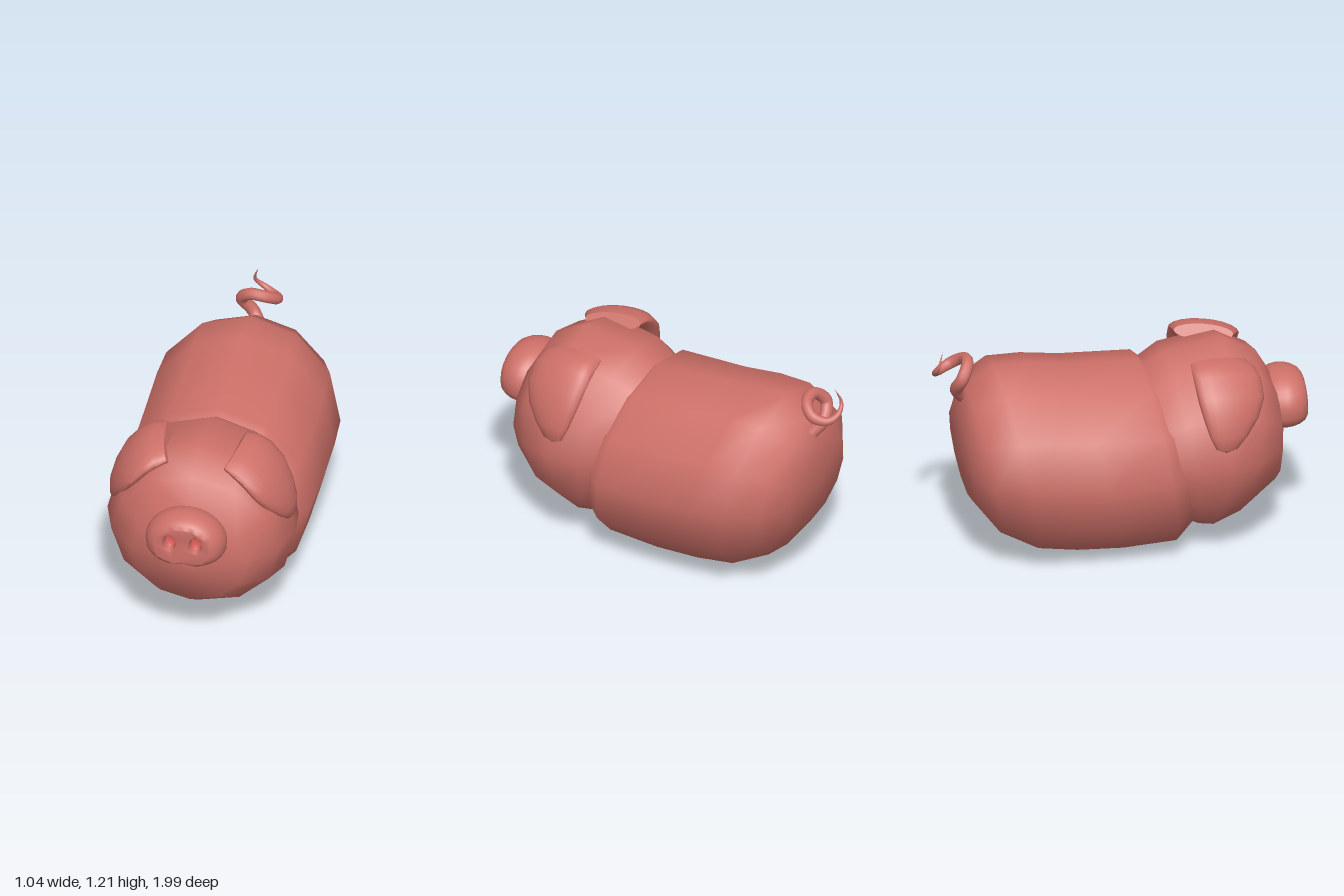
import * as THREE from 'three';
import { mergeGeometries, mergeVertices, toCreasedNormals } from 'three/addons/utils/BufferGeometryUtils.js';

const V = (x, y, z) => new THREE.Vector3(x, y, z);

// Skin a list of equal-length closed rings, running front to back
function loft(rings) {
  const n = rings[0].length, index = [];
  for (let i = 0; i < rings.length - 1; i++) {
    for (let j = 0; j < n; j++) {
      const a = i * n + j, b = i * n + (j + 1) % n;
      index.push(a, b, a + n, b, b + n, a + n);
    }
  }
  const g = new THREE.BufferGeometry().setFromPoints(rings.flat());
  g.setIndex(index);
  return g;
}

function smooth(geometries) {
  const g = mergeVertices(mergeGeometries(geometries), 1e-4);
  g.computeVertexNormals();
  return g;
}

function ring(n, fn) {
  return Array.from({ length: n }, (_, j) => fn((j / n) * Math.PI * 2));
}

// Slanted oval sections: [top z, top y, bottom z, bottom y, half width]
function slantedLoft(sections) {
  return smooth([loft(sections.map(([tz, ty, bz, by, rx]) => ring(12, (a) => {
    const k = (1 + Math.cos(a)) / 2;
    return V(rx * Math.sin(a), by + (ty - by) * k, bz + (tz - bz) * k);
  })))]);
}

const CY = 0.74; // snout centre height

// Bean-shaped snout outline with a dent at the bottom
function snoutPoint(a, s, z) {
  const x = 0.217 * Math.sin(a), c = Math.cos(a);
  const y = c > 0 ? 0.175 * c
    : -0.14 * Math.pow(-c, 0.75) + 0.022 * Math.exp(-((x / 0.05) ** 2)) * -c;
  return V(x * s, CY + y * s, z);
}

// Counter-clockwise oval around one nostril
function nostrilRing(side, s, z) {
  return ring(20, (a) => V(side * 0.07 + 0.038 * s * Math.cos(a), 0.767 + 0.057 * s * Math.sin(a), z));
}

function snoutGeometry() {
  const profile = [[0.7, 1.0], [0.82, 0.985], [0.92, 0.955], [0.98, 0.92], [1, 0.885], [0.97, 0.85], [0.88, 0.81]];
  const rings = profile.map(([s, z]) => ring(36, (a) => snoutPoint(a, s, z)));
  const flat = (pts) => pts.map((p) => new THREE.Vector2(p.x, p.y));
  const shape = new THREE.Shape(flat(rings[0]));
  const walls = [];
  for (const side of [-1, 1]) {
    shape.holes.push(new THREE.Path(flat(nostrilRing(side, 1, 1))));
    walls.push(loft([[1, 1], [0.85, 0.99], [0.72, 0.96]].map(([s, z]) => nostrilRing(side, s, z))));
  }
  const cap = new THREE.ShapeGeometry(shape).translate(0, 0, 1);
  cap.deleteAttribute('normal');
  cap.deleteAttribute('uv');
  return smooth([loft(rings), cap, ...walls]);
}

// Folded ear from the crown down to its tip: [centre, outward direction, half width, half thickness]
function earGeometry(side) {
  const sections = [
    [[0.18, 1.07, 0.51], [0.5, 0.85], 0, 0],
    [[0.18, 1.07, 0.51], [0.5, 0.85], 0.155, 0.045],
    [[0.24, 1.055, 0.525], [0.5, 0.85], 0.175, 0.058],
    [[0.30, 1.02, 0.535], [0.6, 0.8], 0.185, 0.062],
    [[0.37, 0.94, 0.54], [0.75, 0.66], 0.182, 0.062],
    [[0.42, 0.85, 0.53], [0.86, 0.5], 0.15, 0.056],
    [[0.455, 0.77, 0.51], [0.95, 0.3], 0.105, 0.042],
    [[0.475, 0.71, 0.495], [1, 0.1], 0.06, 0.024],
    [[0.482, 0.69, 0.49], [1, 0], 0, 0],
  ];
  const rings = sections.map(([c, d, w, t]) => ring(20, (a) => {
    const u = w * Math.cos(a), n = -side * t * Math.sin(a);
    return V(side * (c[0] - 0.16 * u + d[0] * n), c[1] - 0.1 * u + d[1] * n, c[2] + u);
  }));
  return toCreasedNormals(smooth([loft(rings)]), 0.9);
}

// Curly tail: a tube tapering towards its tip
function tailGeometry() {
  const curve = new THREE.CatmullRomCurve3([
    V(0.02, 0.92, -0.82), V(-0.03, 0.99, -0.865), V(-0.085, 1.07, -0.845), V(-0.03, 1.135, -0.805),
    V(0.055, 1.125, -0.81), V(0.1, 1.08, -0.87), V(0.07, 1.055, -0.94), V(0.01, 1.075, -0.972),
    V(-0.04, 1.12, -0.965), V(-0.018, 1.21, -0.935),
  ]);
  const segments = 48, sides = 10;
  const g = new THREE.TubeGeometry(curve, segments, 0.036, sides);
  const pos = g.attributes.position, p = V(0, 0, 0);
  for (let i = 0; i <= segments; i++) {
    const t = i / segments, c = curve.getPointAt(t);
    const k = t < 0.6 ? 1 - 0.25 * t : 0.85 * (1 - t) / 0.4;
    for (let j = 0; j <= sides; j++) {
      const q = i * (sides + 1) + j;
      p.fromBufferAttribute(pos, q).sub(c).multiplyScalar(k).add(c);
      pos.setXYZ(q, p.x, p.y, p.z);
    }
  }
  return g;
}

export function createModel() {
  const model = new THREE.Group();
  const skin = new THREE.MeshStandardMaterial({ color: 0xcd7068 });
  skin.name = 'pinkSkin';
  const inner = new THREE.MeshStandardMaterial({ color: 0xe0605c });
  inner.name = 'nostrilRed';
  const add = (name, geometry, material = skin) => {
    const mesh = new THREE.Mesh(geometry, material);
    mesh.name = name;
    model.add(mesh);
  };

  // Barrel body with a rounded rump
  add('body', slantedLoft([
    [0.22, 0.95, 0.39, 0.13, 0.43],
    [0.12, 1.04, 0.28, 0.02, 0.515],
    [-0.27, 1.06, 0, 0.005, 0.52],
    [-0.48, 1.09, -0.25, 0.018, 0.52],
    [-0.66, 1.092, -0.46, 0.05, 0.508],
    [-0.81, 1.0, -0.66, 0.16, 0.43],
    [-0.857, 0.83, -0.8, 0.35, 0.29],
    [-0.86, 0.61, -0.86, 0.61, 0],
  ]));

  // Round head
  add('head', slantedLoft([
    [0.9, 0.58, 0.9, 0.58, 0],
    [0.84, 0.87, 0.82, 0.3, 0.31],
    [0.75, 1.03, 0.61, 0.15, 0.45],
    [0.57, 1.128, 0.46, 0.09, 0.507],
    [0.26, 1.08, 0.4, 0.1, 0.48],
    [0.1, 0.98, 0.3, 0.15, 0.42],
  ]));

  add('snout', snoutGeometry());
  add('tail', tailGeometry());

  for (const [label, side] of [['left', 1], ['right', -1]]) {
    add(label + 'Ear', earGeometry(side));
    // Red hollow at the bottom of the nostril
    add(label + 'Nostril', smooth([loft([
      nostrilRing(side, 0.72, 0.96), nostrilRing(side, 0.6, 0.95), nostrilRing(side, 0, 0.948),
    ])]), inner);
  }
  return model;
}
